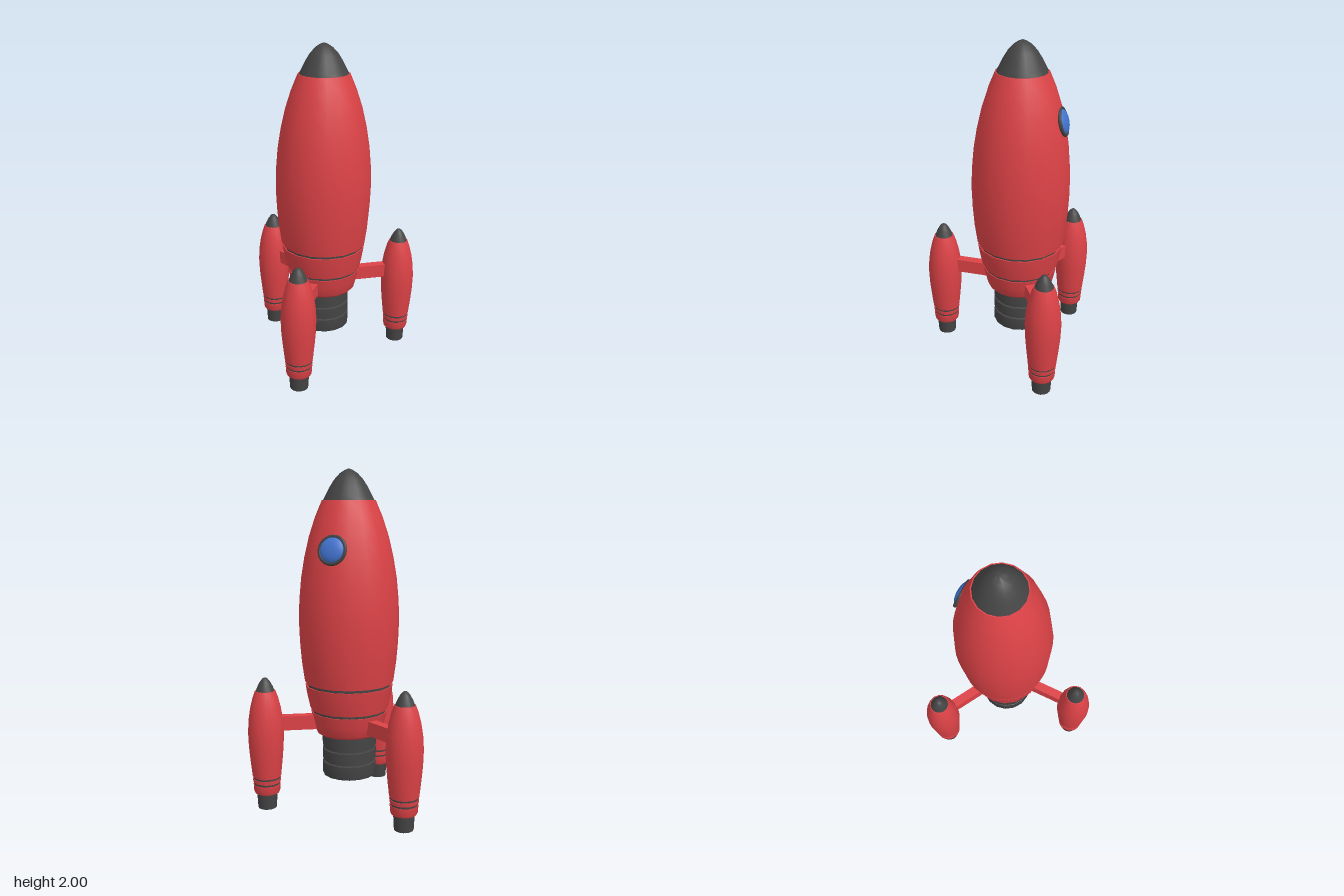
import * as THREE from 'three';
import { toCreasedNormals } from 'three/addons/utils/BufferGeometryUtils.js';

const red = new THREE.MeshStandardMaterial({ color: 0xdc4246 });
const dark = new THREE.MeshStandardMaterial({ color: 0x444444 });
const blue = new THREE.MeshStandardMaterial({ color: 0x4274d0 });

// Turned part from [radius, y] pairs, listed bottom to top on the outside
function turned(name, profile, material) {
  const pts = profile.map(([r, y]) => new THREE.Vector2(r, y));
  const geo = toCreasedNormals(new THREE.LatheGeometry(pts, 16), 0.6);
  const mesh = new THREE.Mesh(geo, material);
  mesh.name = name;
  return mesh;
}

// Hull section closed at both ends
const section = (name, profile, material) =>
  turned(name, [[0, profile[0][1]], ...profile, [0, profile[profile.length - 1][1]]], material);

// Straight ring filling a groove
const band = (name, r, y0, y1) => turned(name, [[r, y0], [r, y1]], dark);

function createPod() {
  const pod = new THREE.Group();
  pod.name = 'boosterPod';
  pod.add(
    turned('podNozzle', [[0, 0.09], [0.048, 0.09], [0.05, 0], [0.056, 0], [0.06, 0.075], [0.062, 0.1]], dark),
    section('podBase', [[0.073, 0.095], [0.078, 0.105], [0.081, 0.15]], red),
    section('podRing', [[0.082, 0.162], [0.084, 0.185]], red),
    section('podHull', [[0.085, 0.197], [0.095, 0.29], [0.103, 0.38], [0.106, 0.47], [0.101, 0.55],
      [0.09, 0.62], [0.075, 0.68], [0.06, 0.722]], red),
    band('podLowerGroove', 0.078, 0.145, 0.167),
    band('podUpperGroove', 0.081, 0.18, 0.202),
    section('podNose', [[0.056, 0.72], [0.043, 0.752], [0.029, 0.778], [0.015, 0.795], [0.006, 0.8]], dark),
  );
  return pod;
}

export function createModel() {
  const model = new THREE.Group();
  model.name = 'rocket';
  const rocket = new THREE.Group();
  rocket.name = 'rocketAssembly';
  rocket.position.z = -0.125;
  model.add(rocket);

  // Main hull with two dark grooves
  rocket.add(
    section('hullBase', [[0.188, 0.455], [0.2, 0.467], [0.216, 0.53], [0.229, 0.588]], red),
    section('hullMiddle', [[0.233, 0.604], [0.25, 0.68], [0.261, 0.748]], red),
    section('hull', [[0.264, 0.765], [0.28, 0.88], [0.29, 1.0], [0.295, 1.13], [0.291, 1.25], [0.279, 1.38],
      [0.259, 1.5], [0.231, 1.62], [0.195, 1.73], [0.155, 1.825]], red),
    band('lowerGroove', 0.223, 0.58, 0.612),
    band('upperGroove', 0.253, 0.74, 0.772),
    section('noseCone', [[0.148, 1.825], [0.135, 1.85], [0.112, 1.895], [0.084, 1.94], [0.052, 1.975],
      [0.025, 1.993], [0.008, 2.0]], dark),
  );

  // Hollow main engine with stepped rings
  rocket.add(turned('mainNozzle', [
    [0, 0.44], [0.147, 0.44], [0.147, 0.195], [0.158, 0.195], [0.161, 0.2], [0.161, 0.275], [0.15, 0.279],
    [0.15, 0.287], [0.161, 0.291], [0.161, 0.355], [0.15, 0.359], [0.15, 0.367], [0.161, 0.371], [0.161, 0.46],
  ], dark));

  // Porthole on the back, tilted to follow the hull
  const porthole = new THREE.Group();
  porthole.name = 'porthole';
  porthole.position.set(0, 1.553, -0.242);
  porthole.rotation.set(0.26, Math.PI, 0, 'XYZ');
  const rim = new THREE.Mesh(new THREE.TorusGeometry(0.077, 0.011, 8, 24), dark);
  rim.name = 'portholeRim';
  const glass = new THREE.Mesh(new THREE.SphereGeometry(0.074, 24, 12), blue);
  glass.name = 'portholeGlass';
  glass.scale.z = 0.4;
  porthole.add(rim, glass);
  rocket.add(porthole);

  // Three boosters on struts, evenly spaced
  for (let i = 0; i < 3; i++) {
    const arm = new THREE.Group();
    arm.name = 'booster' + (i + 1);
    arm.rotation.y = (i * Math.PI * 2) / 3;
    const strut = new THREE.Mesh(new THREE.BoxGeometry(0.055, 0.085, 0.26), red);
    strut.name = 'strut';
    strut.position.set(0, 0.523, 0.28);
    const pod = createPod();
    pod.position.z = 0.5;
    arm.add(strut, pod);
    rocket.add(arm);
  }
  return model;
}
